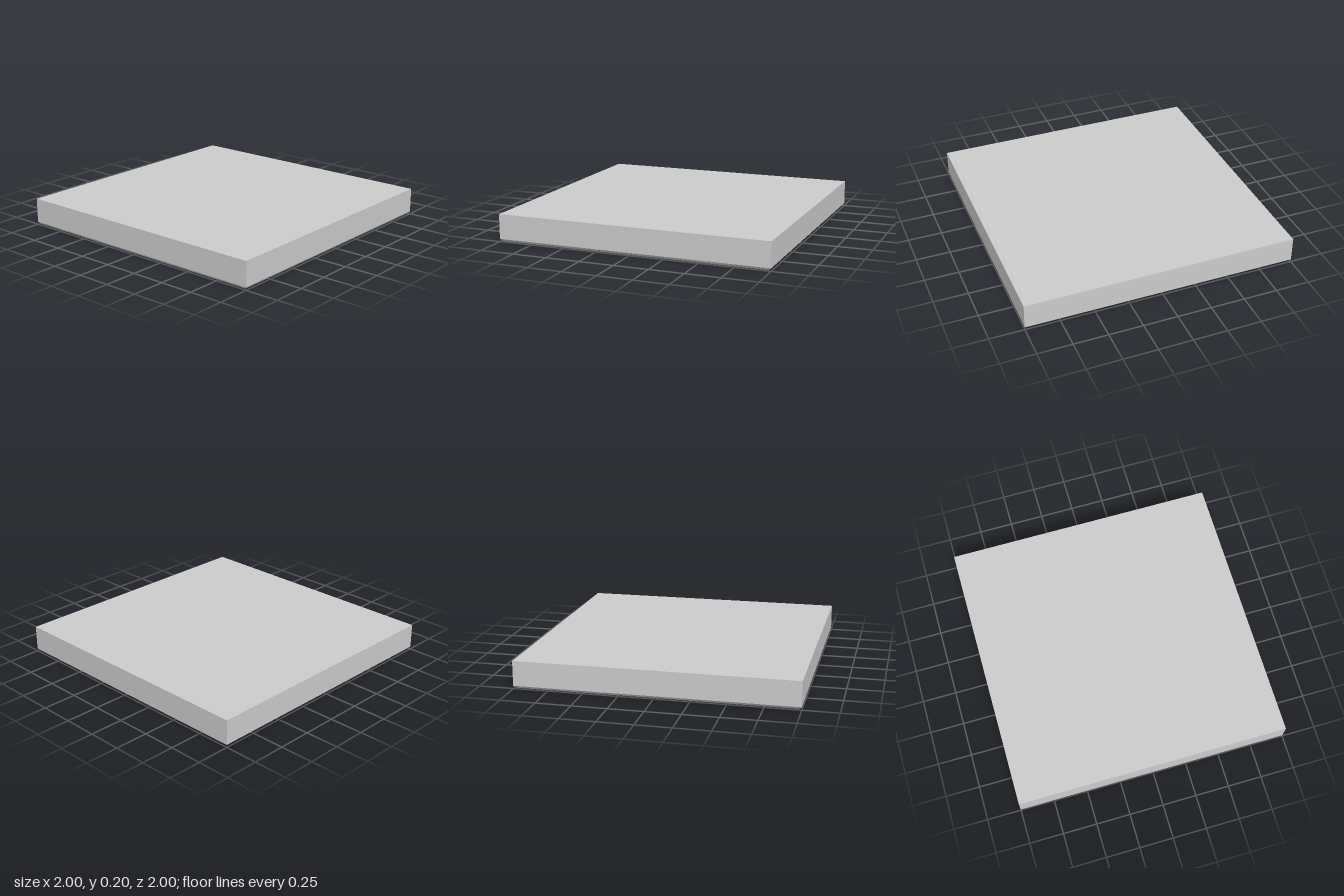
import * as THREE from 'three';

// Four-corner loop: half-width and depth position of its back and front edges,
// with a height for each edge.
function loop(backHalf, backZ, frontHalf, frontZ, backY, frontY = backY) {
  return [
    [-backHalf, backY, backZ],
    [backHalf, backY, backZ],
    [frontHalf, frontY, frontZ],
    [-frontHalf, frontY, frontZ],
  ];
}
const square = (h, y) => loop(h, -h, h, h, y);

// Flat-shaded skin running through successive loops, with optional end caps.
function skin(name, loops, { capStart = false, capEnd = false } = {}) {
  const pos = [];
  const quad = (a, b, c, d) => [a, b, c, a, c, d].forEach((p) => pos.push(...p));
  for (let i = 0; i < loops.length - 1; i++) {
    const a = loops[i], b = loops[i + 1];
    for (let k = 0; k < 4; k++) {
      const n = (k + 1) % 4;
      quad(a[k], a[n], b[n], b[k]);
    }
  }
  if (capStart) quad(...[...loops[0]].reverse());
  if (capEnd) quad(...loops[loops.length - 1]);
  const geo = new THREE.BufferGeometry();
  geo.setAttribute('position', new THREE.Float32BufferAttribute(pos, 3));
  geo.computeVertexNormals();
  const mesh = new THREE.Mesh(
    geo,
    new THREE.MeshStandardMaterial({ color: 0xcccccc, flatShading: true })
  );
  mesh.name = name;
  return mesh;
}

export function createModel() {
  const group = new THREE.Group();
  group.name = 'plate';

  const grooveOuter = 0.885, grooveInner = 0.855, grooveTop = 0.015;
  const recessRim = loop(0.34, -0.245, 0.57, 0.018, 0);

  // Slab with a chamfered lower edge and the rim underneath
  group.add(skin('slab', [
    square(1, 0.2), square(1, 0.02), square(0.98, 0), square(grooveOuter, 0),
  ], { capStart: true }));

  // Square groove framing the underside
  group.add(skin('undersideGroove', [
    square(grooveOuter, 0), square(grooveOuter, grooveTop),
    square(grooveInner, grooveTop), square(grooveInner, 0),
  ]));

  // Flat underside panel around the recess
  group.add(skin('undersidePanel', [square(grooveInner, 0), recessRim]));

  // Recess whose floor deepens toward the front
  const depthAt = (z) => (0.02 * (z + 0.245)) / 0.263;
  const pocketRim = loop(0.19, -0.218, 0.268, -0.094, depthAt(-0.218), depthAt(-0.094));
  group.add(skin('rampRecess', [
    recessRim, loop(0.34, -0.245, 0.57, 0.018, 0, 0.02), pocketRim,
  ]));

  // Deeper pocket in the middle of the ramp
  group.add(skin('pocket', [
    pocketRim, loop(0.19, -0.218, 0.268, -0.094, 0.04),
  ], { capEnd: true }));

  return group;
}
